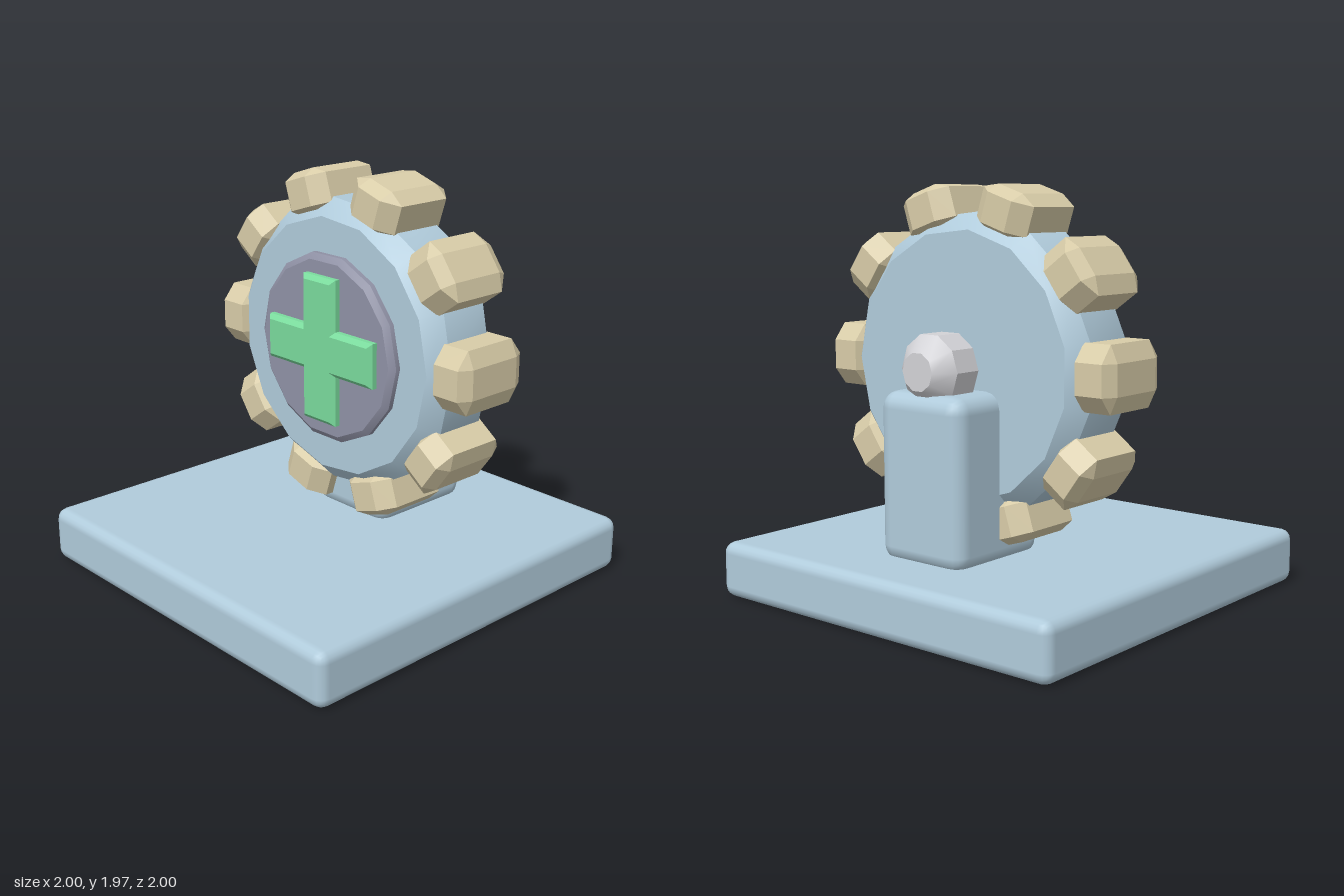
import * as THREE from 'three';
import { toCreasedNormals } from 'three/addons/utils/BufferGeometryUtils.js';
import { RoundedBoxGeometry } from 'three/addons/geometries/RoundedBoxGeometry.js';
import { ConvexGeometry } from 'three/addons/geometries/ConvexGeometry.js';

const AXIS_Y = 1.14; // height of the wheel's centre

function material(name, color) {
  const m = new THREE.MeshStandardMaterial({ color });
  m.name = name;
  return m;
}

// Turned solid around the z axis; profile is [radius, z] from back to front
function turned(profile, sides) {
  const points = profile.map(([r, z]) => new THREE.Vector2(r, z));
  const geometry = new THREE.LatheGeometry(points, sides, Math.PI / 2);
  geometry.rotateX(Math.PI / 2);
  return toCreasedNormals(geometry, 0.6);
}

// Box with every edge and corner cut; half sizes and cuts per axis
function chamferedBox(half, cut) {
  const points = [];
  for (const sx of [-1, 1]) for (const sy of [-1, 1]) for (const sz of [-1, 1]) {
    const sign = [sx, sy, sz];
    for (let full = 0; full < 3; full++) {
      const p = sign.map((s, i) => s * (half[i] - (i === full ? 0 : cut[i])));
      points.push(new THREE.Vector3(...p));
    }
  }
  return new ConvexGeometry(points);
}

function crossShape(reach, width) {
  const a = reach, b = width;
  const corners = [[b, a], [-b, a], [-b, b], [-a, b], [-a, -b], [-b, -b],
    [-b, -a], [b, -a], [b, -b], [a, -b], [a, b], [b, b]];
  return new THREE.Shape(corners.map(([x, y]) => new THREE.Vector2(x, y)));
}

export function createModel() {
  const model = new THREE.Group();
  model.name = 'handWheelValve';

  const blue = material('paleBlue', 0xb0cbdb);
  const tan = material('tan', 0xd8cca8);
  const slate = material('slate', 0x9092a6);
  const green = material('green', 0x7adb9d);
  const steel = material('lightGrey', 0xd2d2d6);

  function add(name, geometry, mat, x, y, z, parent = model) {
    const mesh = new THREE.Mesh(geometry, mat);
    mesh.name = name;
    mesh.position.set(x, y, z);
    parent.add(mesh);
    return mesh;
  }

  // Base slab and the post carrying the wheel
  add('base', new RoundedBoxGeometry(2, 0.27, 2, 2, 0.055), blue, 0, 0.135, 0);
  add('post', new RoundedBoxGeometry(0.5, 0.8, 0.59, 2, 0.08), blue, 0, 0.64, -0.385);

  // Axle end behind the wheel
  add('axle', turned([[0, -0.67], [0.09, -0.67], [0.17, -0.59],
    [0.17, -0.45], [0.1, -0.39], [0, -0.39]], 10), steel, 0, AXIS_Y, 0);

  // Wheel with chamfered rims
  const wheel = new THREE.Group();
  wheel.name = 'wheel';
  wheel.position.y = AXIS_Y;
  model.add(wheel);
  add('wheelBody', turned([[0, -0.4], [0.63, -0.4], [0.712, -0.32],
    [0.712, -0.06], [0.63, 0.02], [0, 0.02]], 15), blue, 0, 0, 0, wheel);

  // Grip pegs around the rim
  const pegGeometry = chamferedBox([0.107, 0.152, 0.21], [0.036, 0.08, 0.065]);
  for (let i = 0; i < 10; i++) {
    const angle = i * Math.PI / 5;
    const peg = add('gripPeg', pegGeometry, tan,
      0.743 * Math.cos(angle), 0.743 * Math.sin(angle), -0.19, wheel);
    peg.rotation.z = angle;
  }

  // Hub plate and raised cross on the front
  add('hubPlate', turned([[0, 0], [0.465, 0], [0.465, 0.045],
    [0.435, 0.067], [0, 0.067]], 14), slate, 0, 0, 0, wheel);
  const cross = new THREE.ExtrudeGeometry(crossShape(0.36, 0.11), {
    depth: 0.03, bevelEnabled: true, bevelSegments: 1,
    bevelThickness: 0.022, bevelSize: 0.022, bevelOffset: -0.022,
  });
  add('cross', cross, green, 0, 0, 0.063, wheel);

  return model;
}
